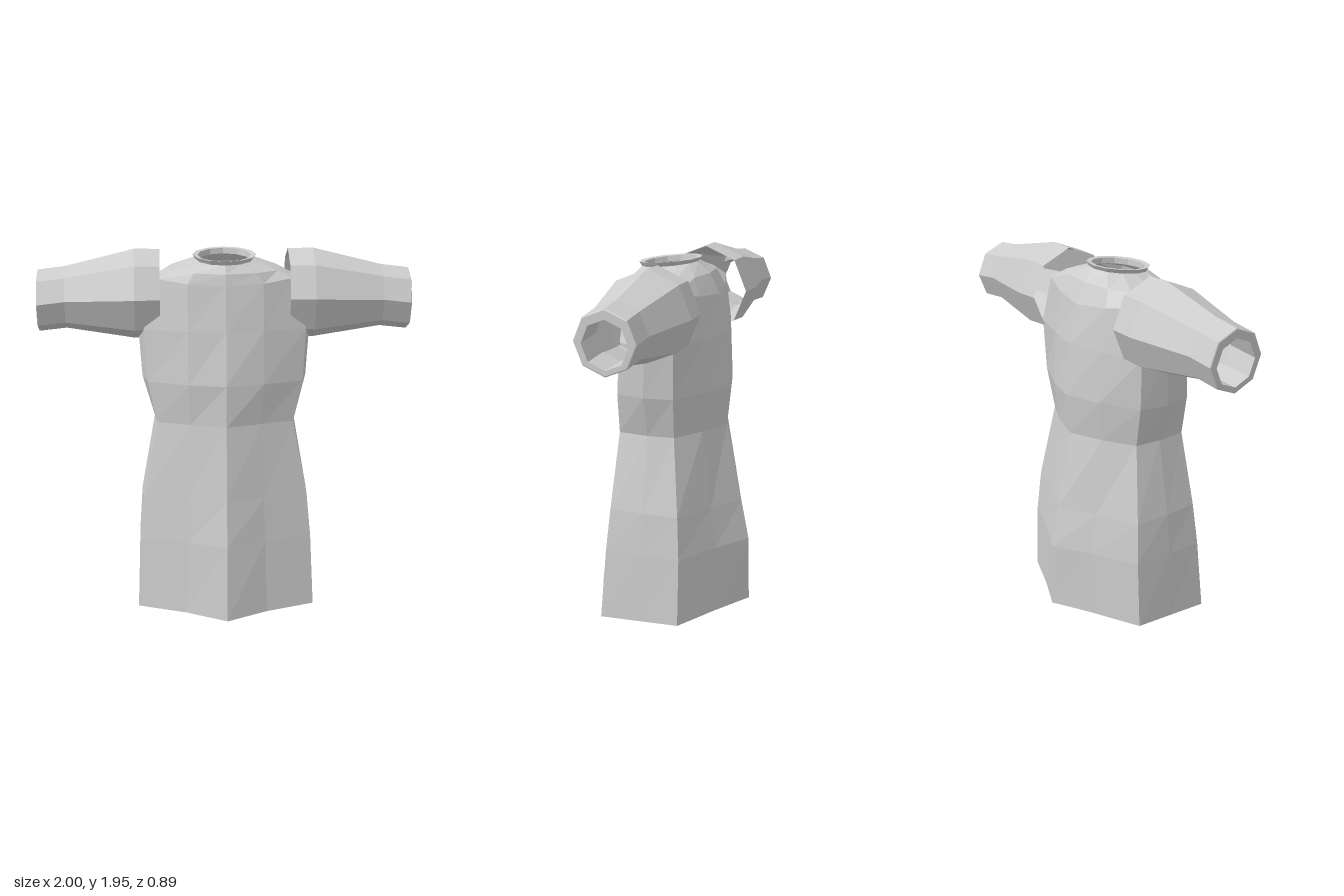
import * as THREE from 'three';

// Skin a list of closed rings (arrays of Vector3 with equal counts)
function loft(rings) {
  const n = rings[0].length, index = [];
  for (let r = 0; r < rings.length - 1; r++) {
    for (let i = 0; i < n; i++) {
      const a = r * n + i, b = r * n + (i + 1) % n;
      index.push(a, b, b + n, a, b + n, a + n);
    }
  }
  const geo = new THREE.BufferGeometry().setFromPoints(rings.flat());
  geo.setIndex(index);
  geo.computeVertexNormals();
  return geo;
}

// Twelve-point torso ring, mirrored from seven points running front to back
function bodyRing([yf, yb, lift, xq, xc, xs, ...z], inset = 0) {
  const xs7 = [0, xq, xc, xs, xc, xq, 0];
  const half = xs7.map((x, i) => new THREE.Vector3(
    x * (1 - inset),
    THREE.MathUtils.lerp(yf, yb, i / 6) + lift * Math.sin(Math.PI * i / 6) ** 2,
    z[i] * (1 - inset)));
  const other = half.slice(1, 6).reverse().map(p => new THREE.Vector3(-p.x, p.y, p.z));
  return [...half, ...other];
}

// Round neck ring, slightly higher at the back
function neckRing(r, y) {
  return Array.from({ length: 12 }, (_, i) => {
    const a = i * Math.PI / 6;
    return new THREE.Vector3(r * Math.sin(a), y - 0.017 * Math.cos(a), 0.02 + r * Math.cos(a));
  });
}

// Eight-sided sleeve ring; side is +1 or -1
function sleeveRing(side, x, y, r) {
  return Array.from({ length: 8 }, (_, i) => {
    const a = i * Math.PI / 4;
    return new THREE.Vector3(side * x, y + r * Math.cos(a), -0.047 + side * r * Math.sin(a));
  });
}

export function createModel() {
  const group = new THREE.Group();
  const cloth = new THREE.MeshStandardMaterial({
    color: 0xcccccc, flatShading: true, side: THREE.DoubleSide });
  cloth.name = 'light grey cloth';
  const add = (name, rings) => {
    const mesh = new THREE.Mesh(loft(rings), cloth);
    mesh.name = name;
    group.add(mesh);
  };

  // front y, back y, side lift, x of quarter, corner, side, then z front to back
  const hem = [0, 0.05, 0, 0.22, 0.48, 0.48, 0.447, 0.33, 0.237, 0.01, -0.21, -0.33, -0.447];
  const knee = [0.4, 0.4, 0, 0.21, 0.463, 0.468, 0.40, 0.30, 0.21, 0.005, -0.21, -0.325, -0.44];
  const thigh = [0.64, 0.62, 0, 0.205, 0.442, 0.453, 0.36, 0.275, 0.19, 0, -0.195, -0.295, -0.395];
  const waist = [1.04, 1.04, 0, 0.19, 0.365, 0.38, 0.305, 0.235, 0.165, 0, -0.145, -0.24, -0.308];
  const ribs = [1.26, 1.26, 0, 0.2, 0.415, 0.445, 0.30, 0.25, 0.155, -0.005, -0.16, -0.265, -0.328];
  const chest = [1.54, 1.54, 0, 0.2, 0.432, 0.465, 0.255, 0.222, 0.132, -0.02, -0.167, -0.25, -0.3];
  const shoulder = [1.78, 1.75, 0.05, 0.2, 0.36, 0.372, 0.215, 0.188, 0.12, -0.025, -0.16, -0.217, -0.257];
  const yoke = [1.84, 1.86, 0, 0.165, 0.28, 0.3, 0.203, 0.178, 0.105, -0.01, -0.115, -0.178, -0.205];

  // Skirt and bodice as one tunic shell
  add('tunicBody', [
    ...[hem, knee, thigh, waist, ribs, chest, shoulder, yoke].map(r => bodyRing(r)),
    neckRing(0.155, 1.9)]);

  // Turned-under hem
  add('hemLining', [bodyRing(knee, 0.06), bodyRing(hem, 0.06), bodyRing(hem)]);

  // Flared collar folded back inside
  add('collar', [neckRing(0.155, 1.9), neckRing(0.17, 1.923), neckRing(0.143, 1.92), neckRing(0.14, 1.89)]);

  // Puffed sleeves tapering to straight cuffs with a folded lip
  for (const [name, side] of [['leftSleeve', 1], ['rightSleeve', -1]]) {
    add(name, [
      [0.345, 1.705, 0.238], [0.48, 1.703, 0.243], [0.85, 1.687, 0.168], [0.997, 1.67, 0.167],
      [1, 1.67, 0.162], [1, 1.66, 0.125], [0.82, 1.675, 0.13],
    ].map(([x, y, r]) => sleeveRing(side, x, y, r)));
  }
  return group;
}
